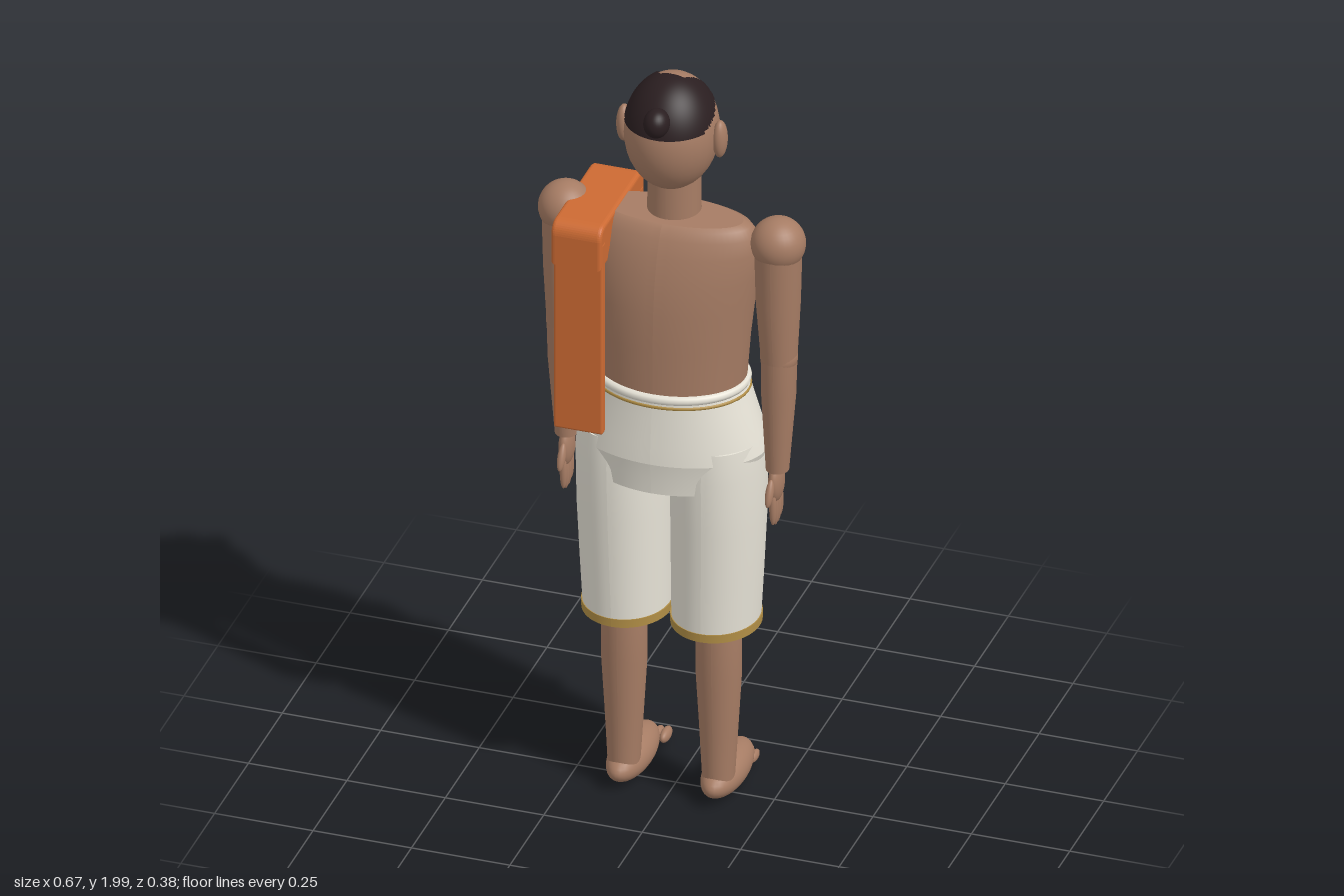
import * as THREE from 'three';
import { RoundedBoxGeometry } from 'three/addons/geometries/RoundedBoxGeometry.js';

const mat = (name, color, side = THREE.FrontSide) => {
  const m = new THREE.MeshStandardMaterial({ color, side });
  m.name = name;
  return m;
};

export function createModel() {
  const skin = mat('skin', 0xa67c64);
  const hair = mat('hair', 0x2a1e20, THREE.DoubleSide);
  const cotton = mat('white cotton', 0xe6e2d6);
  const gold = mat('gold trim', 0xb08d45);
  const orange = mat('orange cloth', 0xcc6a33);
  const dark = mat('eye black', 0x1c1414);
  const lip = mat('lip', 0x5a2f28);
  const red = mat('red mark', 0xc23a1e);

  const model = new THREE.Group();
  model.name = 'standingMan';
  const add = (name, geo, material, x = 0, y = 0, z = 0, parent = model) => {
    const m = new THREE.Mesh(geo, material);
    m.name = name;
    m.position.set(x, y, z);
    parent.add(m);
    return m;
  };
  const ball = (name, material, x, y, z, rx, ry = rx, rz = rx) =>
    add(name, new THREE.SphereGeometry(1, 32, 20).scale(rx, ry, rz), material, x, y, z);
  const tube = (name, material, pts, r, closed = false) => {
    const curve = new THREE.CatmullRomCurve3(pts.map(p => new THREE.Vector3(...p)), closed);
    return add(name, new THREE.TubeGeometry(curve, 48, r, 8, closed), material);
  };
  // Closed body through elliptical sections, top to bottom: [y, rx, rz, cx, cz]
  const loft = (name, material, rows) => {
    const n = rows.length - 1;
    const geo = new THREE.CylinderGeometry(1, 1, 1, 64, n);
    const p = geo.attributes.position;
    for (let i = 0; i < p.count; i++) {
      const [y, rx, rz, cx = 0, cz = 0.03] = rows[Math.round((0.5 - p.getY(i)) * n)];
      p.setXYZ(i, cx + p.getX(i) * rx, y, cz + p.getZ(i) * rz);
    }
    geo.computeVertexNormals();
    return add(name, geo, material);
  };

  // Torso and neck
  loft('torso', skin, [
    [1.62, 0.18, 0.07], [1.612, 0.2, 0.082], [1.59, 0.216, 0.095], [1.55, 0.224, 0.112],
    [1.48, 0.217, 0.13], [1.4, 0.207, 0.14], [1.3, 0.195, 0.144], [1.15, 0.183, 0.145],
  ]);
  loft('neck', skin, [[1.74, 0.064, 0.064, 0, 0.012], [1.6, 0.066, 0.066, 0, 0.012]]);

  // Head, facing -z
  const H = { y: 1.845, z: 0.03, rx: 0.115, ry: 0.15, rz: 0.125 };
  const faceZ = (x, y) =>
    H.z - H.rz * Math.sqrt(1 - (x / H.rx) ** 2 - ((y - H.y) / H.ry) ** 2);
  ball('head', skin, 0, H.y, H.z, H.rx, H.ry, H.rz);
  ball('nose', skin, 0, 1.838, -0.098, 0.025, 0.027, 0.027);
  for (const s of [-1, 1]) {
    ball('ear', skin, s * 0.122, 1.842, 0.03, 0.018, 0.05, 0.025);
    ball('eye', dark, s * 0.043, 1.873, faceZ(0.043, 1.873), 0.016, 0.008, 0.007).rotation.y = s * 0.35;
    tube('eyebrow', dark, [0.026, 0.044, 0.062].map((x, i) => {
      const y = 1.897 + (i === 1 ? 0.006 : 0);
      return [s * x, y, faceZ(x, y)];
    }), 0.004);
  }
  tube('mouth', lip, [-0.028, 0, 0.028].map(x => [x, 1.785, faceZ(x, 1.785)]), 0.005);
  tube('moustache', dark, [-0.03, 0, 0.03].map(x => [x, 1.8, faceZ(x, 1.8)]), 0.004);
  for (const y of [1.937, 1.924])
    tube('foreheadLine', cotton, [-0.033, 0, 0.033].map(x => [x, y, faceZ(x, y)]), 0.0025);
  ball('foreheadDot', red, 0, 1.91, faceZ(0, 1.91), 0.006, 0.006, 0.004);

  // Hair: a thin cap over the skull, cut back at the temples and brow
  const cap = new THREE.SphereGeometry(1, 96, 64)
    .scale(H.rx + 0.003, H.ry + 0.004, H.rz + 0.003).toNonIndexed();
  const keep = [];
  const cp = cap.attributes.position;
  for (let i = 0; i < cp.count; i += 3) {
    let cx = 0, cy = 0, cz = 0;
    for (let k = i; k < i + 3; k++) {
      cx += Math.abs(cp.getX(k)) / 3;
      cy += cp.getY(k) / 3;
      cz += cp.getZ(k) / 3 + H.z / 3;
    }
    const front = cx < 0.03 ? 0.028 : cx < 0.06 ? 0.028 - (cx - 0.03) * 1.65 : -0.022;
    const low = 0.035 + Math.max(0, 0.1 - cz) * 0.4;
    if (cz > front && cy > low) keep.push(i, i + 1, i + 2);
  }
  cap.setIndex(keep);
  add('hairCap', cap, hair, 0, H.y, H.z);
  ball('hairBun', hair, 0, 1.925, 0.143, 0.032, 0.037, 0.037);

  // Arms and hands
  for (const s of [-1, 1]) {
    ball('shoulder', skin, s * 0.27, 1.58, 0.03, 0.067);
    loft('upperArm', skin, [
      [1.58, 0.058, 0.062, s * 0.27], [1.42, 0.054, 0.058, s * 0.27], [1.26, 0.044, 0.046, s * 0.272],
    ]);
    ball('elbow', skin, s * 0.272, 1.265, 0.03, 0.046);
    loft('forearm', skin, [
      [1.26, 0.044, 0.046, s * 0.272], [1.16, 0.042, 0.045, s * 0.271], [0.95, 0.028, 0.03, s * 0.268],
    ]);
    ball('palm', skin, s * 0.266, 0.915, 0.032, 0.018, 0.052, 0.037);
    for (let f = 0; f < 4; f++)
      ball('finger', skin, s * 0.266, 0.852 - (f === 1 || f === 2 ? 0.008 : 0), 0.007 + f * 0.017,
        0.009, 0.045, 0.0095);
    ball('thumb', skin, s * 0.264, 0.905, 0.078, 0.01, 0.035, 0.012).rotation.x = -0.45;
  }

  // Wrapped lower garment
  loft('hipWrap', cotton, [
    [1.18, 0.187, 0.15], [1.12, 0.205, 0.153], [1.05, 0.228, 0.16], [1.0, 0.241, 0.163],
  ]);
  loft('hipUnderside', cotton, [[1.0, 0.241, 0.163], [0.96, 0.226, 0.157], [0.915, 0.21, 0.154]]);
  const ring = (name, material, y, rx, rz, r) => {
    const pts = [];
    for (let i = 0; i < 24; i++) {
      const a = i / 24 * Math.PI * 2;
      pts.push([Math.cos(a) * rx, y, 0.03 + Math.sin(a) * rz]);
    }
    return tube(name, material, pts, r, true);
  };
  ring('waistBand', cotton, 1.175, 0.184, 0.146, 0.012);
  ring('waistTrim', gold, 1.155, 0.192, 0.149, 0.005);
  for (const s of [-1, 1]) {
    loft('trouserLeg', cotton, [
      [1.03, 0.11, 0.13, s * 0.12], [0.95, 0.116, 0.137, s * 0.12], [0.8, 0.115, 0.131, s * 0.119],
      [0.65, 0.111, 0.125, s * 0.116], [0.52, 0.107, 0.12, s * 0.113],
    ]);
    loft('hem', gold, [[0.525, 0.11, 0.122, s * 0.113], [0.503, 0.11, 0.122, s * 0.113]]);
  }

  // Front pleats with a gold end bar
  for (let i = -2; i <= 2; i++)
    add('pleat', new RoundedBoxGeometry(0.031, 0.49, 0.026, 3, 0.011), cotton, i * 0.034, 0.905, -0.124);
  add('pleatTrim', new RoundedBoxGeometry(0.17, 0.022, 0.034, 3, 0.007), gold, 0, 0.657, -0.131);

  // Legs and feet
  for (const s of [-1, 1]) {
    loft('shin', skin, [
      [0.54, 0.05, 0.055, s * 0.12, 0.033], [0.47, 0.056, 0.058, s * 0.12, 0.033],
      [0.36, 0.056, 0.057, s * 0.12, 0.033], [0.22, 0.048, 0.049, s * 0.12, 0.033],
      [0.06, 0.039, 0.042, s * 0.12, 0.035],
    ]);
    ball('knee', skin, s * 0.12, 0.49, 0.033, 0.056);
    ball('foot', skin, s * 0.12, 0.054, -0.03, 0.052, 0.048, 0.13);
    for (let t = 0; t < 5; t++)
      ball('toe', skin, s * (0.08 + t * 0.0185), 0.036, -0.158 + t * t * 0.0017,
        0.0125 - t * 0.0007, 0.017 - t * 0.001, 0.031 - t * 0.001);
  }

  // Folded cloth over the -x shoulder: an arch and two hanging panels
  const arch = new THREE.Shape();
  arch.moveTo(-0.125, 1.52);
  arch.lineTo(-0.125, 1.59);
  arch.quadraticCurveTo(-0.123, 1.614, -0.1, 1.615);
  arch.lineTo(0.155, 1.615);
  arch.quadraticCurveTo(0.178, 1.614, 0.18, 1.59);
  arch.lineTo(0.18, 1.52);
  arch.lineTo(0.14, 1.52);
  arch.quadraticCurveTo(0.12, 1.575, 0.03, 1.58);
  arch.quadraticCurveTo(-0.065, 1.575, -0.085, 1.52);
  arch.closePath();
  const archGeo = new THREE.ExtrudeGeometry(arch, {
    depth: 0.108, bevelThickness: 0.01, bevelSize: 0.01, bevelSegments: 4, curveSegments: 10,
  });
  archGeo.rotateY(-Math.PI / 2);
  add('clothArch', archGeo, orange, -0.136, 0, 0);
  for (const z of [-0.114, 0.168])
    add('clothPanel', new RoundedBoxGeometry(0.124, 0.53, 0.026, 3, 0.006), orange, -0.187, 1.315, z);

  // Thin cord across the chest
  tube('chestCord', cotton, [
    [-0.15, 1.54, -0.06], [-0.11, 1.49, -0.09], [-0.05, 1.42, -0.112], [0.005, 1.36, -0.119],
    [0.06, 1.3, -0.113], [0.11, 1.245, -0.093], [0.155, 1.19, -0.055],
  ], 0.005);

  return model;
}
